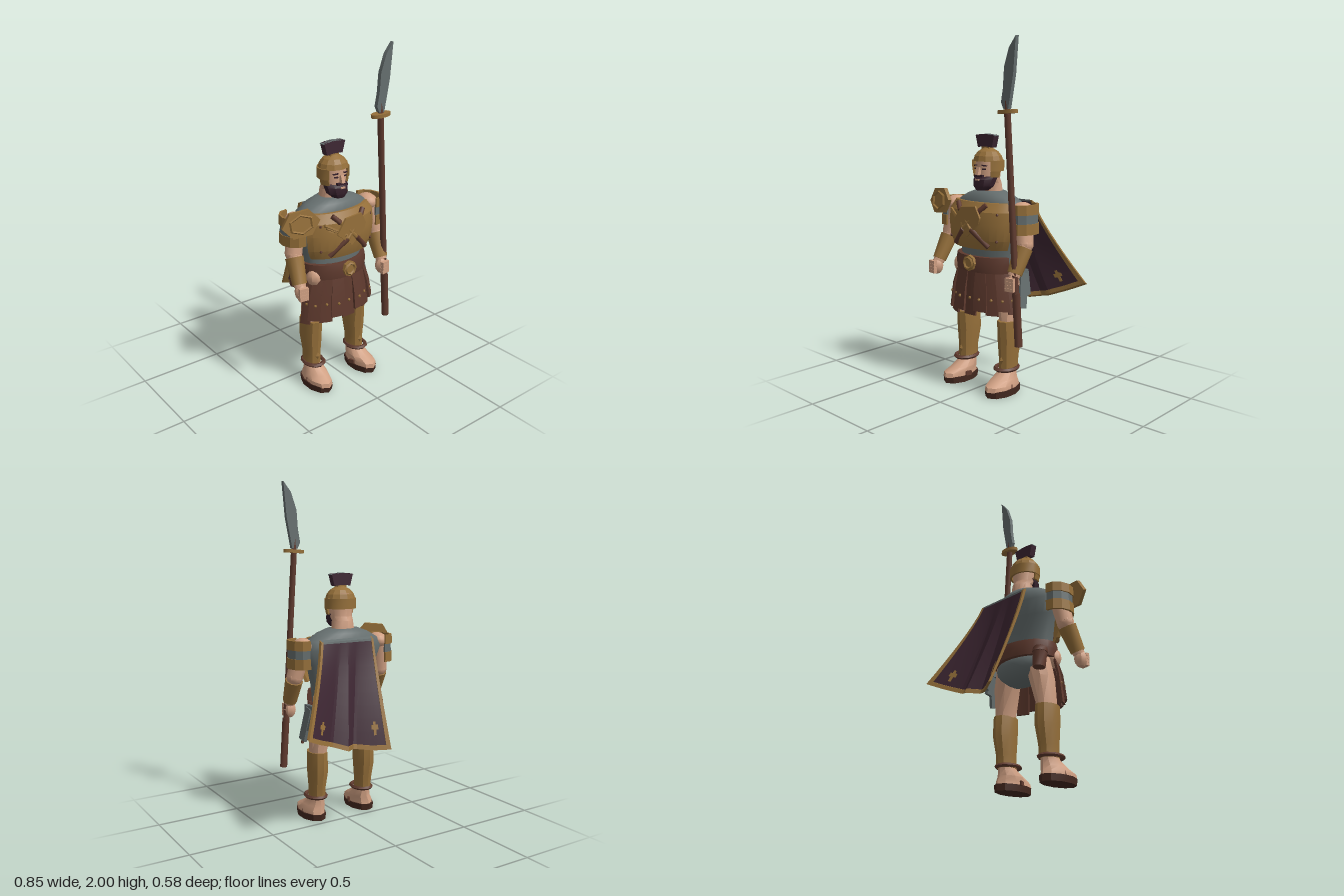
import * as THREE from 'three';
import { toCreasedNormals } from 'three/addons/utils/BufferGeometryUtils.js';

const mat = (name, color) => Object.assign(new THREE.MeshStandardMaterial({ color }), { name });
const gold = mat('gold', 0x96703a), brown = mat('brown leather', 0x5f3a2e), skin = mat('skin', 0xcf9f82),
  steel = mat('steel grey', 0x656e6e), purple = mat('dark purple', 0x3e2733), beardDark = mat('beard', 0x35202b),
  sole = mat('dark sole', 0x43281f);
const CX = -0.015; // body axis
const lerp = THREE.MathUtils.lerp, V = (p) => new THREE.Vector3(...p);

export function createModel() {
  const root = new THREE.Group();
  root.name = 'soldier';

  const add = (name, geo, m, crease = 0.6) => {
    const mesh = new THREE.Mesh(toCreasedNormals(geo, crease), m);
    mesh.name = name;
    root.add(mesh);
    return mesh;
  };
  const remap = (geo, fn) => {
    const p = geo.attributes.position;
    for (let i = 0; i < p.count; i++) p.setXYZ(i, ...fn(p.getX(i), p.getY(i), p.getZ(i)));
    return geo;
  };
  // Solid through elliptical rings [y, cx, cz, rx, rz], bottom to top
  const loft = (name, m, rings, n = 10, crease = 0.6) => {
    const k = rings.length - 1;
    return add(name, remap(new THREE.CylinderGeometry(1, 1, 1, n, k), (x, y, z) => {
      const [ry, cx, cz, rx, rz] = rings[Math.round((y + 0.5) * k)];
      return [cx + x * rx, ry, cz + z * rz];
    }), m, crease);
  };
  // Curved plate around a vertical axis; rows are [y, rx, rz], angle 0 faces front
  const wrap = (name, m, cx, cz, a0, a1, rows, thick = 0.015, segs = 8, crease = 0.4) => {
    const k = rows.length - 1;
    return add(name, remap(new THREE.BoxGeometry(1, 1, 1, segs, k, 1), (x, y, z) => {
      const [ry, rx, rz] = rows[Math.round((y + 0.5) * k)], a = lerp(a0, a1, x + 0.5);
      return [cx + Math.sin(a) * (rx + z * thick), ry, cz + Math.cos(a) * (rz + z * thick)];
    }), m, crease);
  };
  // Tapered rod from a to b
  const rod = (name, m, a, b, ra, rb = ra, n = 8) => {
    const d = V(b).sub(V(a)), mesh = add(name, new THREE.CylinderGeometry(rb, ra, d.length(), n), m, 0.8);
    mesh.position.copy(V(a)).addScaledVector(d, 0.5);
    mesh.quaternion.setFromUnitVectors(new THREE.Vector3(0, 1, 0), d.normalize());
    return mesh;
  };
  const box = (name, m, size, pos, rot = [0, 0, 0]) => {
    const mesh = add(name, new THREE.BoxGeometry(...size), m);
    mesh.position.set(...pos);
    mesh.rotation.set(...rot);
    return mesh;
  };
  const ball = (name, m, pos, scale, w = 10, h = 7) => {
    const mesh = add(name, remap(new THREE.SphereGeometry(1, w, h), (x, y, z) => [x * scale[0], y * scale[1], z * scale[2]]), m);
    mesh.position.set(...pos);
    return mesh;
  };
  const plate = (name, m, pts, depth, z) => {
    const s = new THREE.Shape(pts.map((p) => new THREE.Vector2(...p)));
    const mesh = add(name, new THREE.ExtrudeGeometry(s, { depth, bevelEnabled: false }), m);
    mesh.position.z = z;
    return mesh;
  };

  // Tunic and pelvis
  loft('tunic', steel, [[0.72, CX, 0.09, 0.19, 0.1], [0.82, CX, 0.09, 0.2, 0.105], [0.95, CX, 0.08, 0.235, 0.105],
    [1.04, CX, 0.075, 0.27, 0.115], [1.09, CX, 0.075, 0.24, 0.112], [1.13, CX, 0.075, 0.17, 0.095], [1.155, CX, 0.075, 0.1, 0.07]], 24, 1);
  ball('pelvis', steel, [CX, 0.67, 0.07], [0.185, 0.105, 0.11], 18, 12);
  ball('hipSkin', skin, [0.125, 0.745, 0.055], [0.068, 0.055, 0.06]);
  ball('hipSkin', skin, [-0.185, 0.71, 0.14], [0.05, 0.06, 0.05]);

  // Belt, open over the left hip
  wrap('belt', brown, CX, 0.09, -4.3, 1.25, [[0.7, 0.2, 0.14], [0.75, 0.205, 0.145], [0.79, 0.2, 0.135]], 0.025, 22);
  const buckle = add('buckle', new THREE.CylinderGeometry(0.046, 0.046, 0.02, 8), gold);
  buckle.position.set(CX, 0.752, 0.248);
  buckle.rotation.x = Math.PI / 2;
  const buckleRim = add('buckleRim', new THREE.TorusGeometry(0.032, 0.008, 4, 8), gold);
  buckleRim.position.set(CX, 0.752, 0.258);

  // Leather strip skirt
  for (let i = -4; i <= 4; i++) {
    const a = i * 0.31, low = 0.45 + 0.025 * (Math.abs(i) % 2) + 0.006 * i;
    const out = i % 2 ? 0.012 : 0;
    wrap('skirtStrip', brown, CX, 0.09, a - 0.17, a + 0.17, [[low, 0.255 + out, 0.155 + out], [0.6, 0.232 + out, 0.145 + out], [0.72, 0.2, 0.135]], 0.014, 2);
    ball('skirtStud', gold, [CX + Math.sin(a) * (0.242 + out), 0.55, 0.09 + Math.cos(a) * (0.158 + out)], [0.009, 0.009, 0.009], 6, 4);
  }

  // Breastplate with studs
  wrap('breastplate', gold, CX, 0.11, -1.2, 1.2, [[0.835, 0.215, 0.12], [0.89, 0.24, 0.14], [0.98, 0.25, 0.147], [1.05, 0.245, 0.135], [1.1, 0.21, 0.1]], 0.02, 12, 0.3);
  for (const s of [-1, 1]) for (const y of [0.89, 1.04])
    ball('breastplateStud', brown, [CX + s * 0.18, y, 0.11 + (y < 1 ? 0.105 : 0.1)], [0.009, 0.009, 0.009], 6, 4);
  // Crossed handles with a fan-shaped plate
  for (const s of [-1, 1]) {
    rod('crossedHandle', brown, [CX + s * 0.11, 1.09, 0.225], [CX + s * 0.07, 1.05, 0.25], 0.015);
    rod('crossedHandle', gold, [CX + s * 0.07, 1.05, 0.25], [CX - s * 0.03, 0.95, 0.268], 0.012);
    rod('crossedHandle', brown, [CX - s * 0.03, 0.95, 0.265], [CX - s * 0.13, 0.855, 0.225], 0.016);
  }
  plate('fanPlate', gold, [[-0.015, 0.905], [0.075, 0.985], [0.085, 1.02], [0.05, 1.085], [-0.06, 1.075], [-0.12, 0.99]], 0.012, 0.258);
  for (let i = 0; i < 4; i++)
    rod('sheafRod', gold, [-0.18 + i * 0.012, 1.05 - i * 0.018, 0.23], [-0.05, 0.975 - i * 0.008, 0.268], 0.009, 0.007, 5);

  // Legs, greaves and sandals
  for (const s of [-1, 1]) {
    const x = CX + s * 0.165;
    loft('thigh', skin, [[0.36, x, 0.09, 0.05, 0.06], [0.44, x - s * 0.005, 0.09, 0.055, 0.065], [0.58, x - s * 0.025, 0.08, 0.074, 0.075], [0.72, x - s * 0.06, 0.075, 0.08, 0.078]]);
    loft('greave', gold, [[0.13, x, 0.1, 0.05, 0.062], [0.2, x, 0.098, 0.05, 0.064], [0.31, x, 0.09, 0.062, 0.078], [0.42, x, 0.095, 0.057, 0.08]]);
    ball('greaveStud', gold, [x, 0.19, 0.162], [0.016, 0.024, 0.01], 4, 2);
    const strap = add('ankleStrap', new THREE.TorusGeometry(0.058, 0.012, 5, 12), brown);
    strap.position.set(x, 0.14, 0.115);
    strap.rotation.x = Math.PI / 2;
    strap.scale.y = 1.25;
    const toe = x + s * 0.008;
    loft('foot', skin, [[0.035, toe, 0.162, 0.067, 0.126], [0.06, toe, 0.162, 0.066, 0.12], [0.085, x, 0.14, 0.06, 0.092], [0.12, x, 0.11, 0.047, 0.06], [0.15, x, 0.1, 0.044, 0.052]]);
    loft('sandalSole', sole, [[0, toe, 0.157, 0.072, 0.124], [0.038, toe, 0.157, 0.074, 0.128]]);
    wrap('sandalStrap', brown, x, 0.14, -1.5, 1.5, [[0.035, 0.068, 0.06], [0.06, 0.067, 0.058]], 0.012, 6);
  }

  // Arms with banded sleeves and bracers
  const arms = [
    { s: 1, shoulder: [0.245, 1.06, 0.09], elbow: [0.285, 0.88, 0.115], wrist: [0.278, 0.71, 0.198], hand: [0.275, 0.672, 0.2], cx: 0.252 },
    { s: -1, shoulder: [-0.28, 1.06, 0.09], elbow: [-0.312, 0.88, 0.115], wrist: [-0.33, 0.71, 0.2], hand: [-0.332, 0.685, 0.21], cx: -0.285 },
  ];
  for (const { s, shoulder, elbow, wrist, hand, cx } of arms) {
    ball('shoulder', skin, shoulder, [0.06, 0.05, 0.07]);
    rod('upperArm', skin, shoulder, elbow, 0.058, 0.05, 10);
    ball('elbow', skin, elbow, [0.05, 0.05, 0.05]);
    rod('forearm', skin, elbow, wrist, 0.047, 0.034, 10);
    const at = (t) => V(elbow).lerp(V(wrist), t).toArray();
    rod('bracer', gold, at(0.12), at(0.92), 0.053, 0.042, 10);
    [[1.1, 1.045, gold, 0.006], [1.045, 0.995, steel, 0], [0.995, 0.935, gold, 0.006]].forEach(([top, low, m, o]) => {
      const a = s > 0 ? [-0.15, 3.25] : [-3.25, 0.15];
      wrap('sleeveBand', m, cx, 0.09, ...a, [[low, 0.072 + o, 0.083 + o], [top, 0.07 + o, 0.083 + o]], 0.014, 6, 0.3);
    });
    ball('hand', skin, hand, [0.038, 0.052, 0.036], 8, 6);
    for (let i = 0; i < 4; i++)
      box('finger', skin, [0.055, 0.018, 0.022], [hand[0] + s * 0.004, hand[1] - 0.032 + i * 0.019, hand[2] + 0.03], [0, s * 0.15, 0]);
  }

  // Hexagonal shoulder guard on the right
  const guard = new THREE.Group();
  guard.name = 'shoulderGuard';
  const hex = add('guardPlate', new THREE.CylinderGeometry(0.1, 0.1, 0.022, 6), gold);
  hex.rotation.set(Math.PI / 2, Math.PI / 6, 0);
  const hexRim = add('guardRim', new THREE.TorusGeometry(0.062, 0.008, 4, 6), gold);
  hexRim.position.z = 0.014;
  hexRim.rotation.z = Math.PI / 6;
  guard.add(hex, hexRim);
  guard.position.set(-0.315, 1.08, 0.19);
  guard.rotation.set(-0.1, -0.25, 0.08);
  guard.scale.set(1.13, 0.84, 1);
  root.add(guard);

  // Head, face and beard
  loft('head', skin, [[1.12, CX, 0.065, 0.075, 0.06], [1.2, CX, 0.07, 0.064, 0.06], [1.225, CX, 0.095, 0.07, 0.072], [1.29, CX, 0.093, 0.078, 0.076], [1.36, CX, 0.09, 0.07, 0.07]], 12);
  loft('beard', beardDark, [[1.16, CX, 0.14, 0.036, 0.036], [1.185, CX, 0.13, 0.066, 0.056], [1.222, CX, 0.12, 0.075, 0.063], [1.24, CX, 0.105, 0.076, 0.06]]);
  box('moustache', beardDark, [0.06, 0.014, 0.02], [CX, 1.243, 0.167]);
  box('lips', skin, [0.03, 0.009, 0.008], [CX, 1.222, 0.183]);
  box('nose', skin, [0.022, 0.045, 0.03], [CX, 1.268, 0.17], [-0.3, 0, 0]);
  for (const s of [-1, 1]) {
    box('eye', beardDark, [0.024, 0.008, 0.008], [CX + s * 0.032, 1.283, 0.16], [0, s * 0.35, 0]);
    box('brow', beardDark, [0.032, 0.007, 0.009], [CX + s * 0.034, 1.302, 0.16], [0, s * 0.35, -s * 0.1]);
  }

  // Helmet with open face
  loft('helmetDome', gold, [[1.325, CX, 0.093, 0.093, 0.083], [1.355, CX, 0.093, 0.083, 0.075], [1.38, CX, 0.093, 0.062, 0.056], [1.4, CX, 0.093, 0.025, 0.025]], 12, 0.3);
  wrap('helmetNeckGuard', gold, CX, 0.093, 0.85, Math.PI * 2 - 0.85, [[1.27, 0.091, 0.08], [1.33, 0.091, 0.081]], 0.012, 14);
  for (const s of [-1, 1])
    wrap('cheekGuard', gold, CX, 0.093, s * 1.25 - 0.35, s * 1.25 + 0.35, [[1.235, 0.08, 0.075], [1.28, 0.089, 0.08]], 0.012, 4);
  box('crestHolder', gold, [0.06, 0.07, 0.036], [CX - 0.003, 1.39, 0.095]);
  for (let i = 0; i < 10; i++) { // fanned crest tufts with pale tips
    const t = i - 4.5, a = -t * 0.058, x0 = CX - 0.005 + t * 0.0095, x1 = CX - 0.005 + t * 0.0158;
    box('crestTuft', purple, [0.0145, 0.07, 0.04], [(x0 + x1) / 2, 1.443 - Math.abs(t) * 0.001, 0.096], [0, 0, a]);
    box('crestTip', steel, [0.0125, 0.003, 0.036], [x1, 1.478 - Math.abs(t) * 0.0018, 0.096], [0, 0, a]);
  }

  // Cape: slanting folded cloth with gold border
  const hem = [[-0.12, 0.485, -0.28], [-0.03, 0.48, -0.225], [0.065, 0.49, -0.165], [0.135, 0.5, -0.225], [0.215, 0.525, -0.17], [0.32, 0.565, -0.225], [0.42, 0.61, -0.275]];
  const capeAt = (u, v) => {
    const f = Math.min(u, 0.9999) * 6, i = Math.floor(f), h = hem[i].map((c, k) => lerp(c, hem[i + 1][k], f - i));
    const top = [lerp(-0.152, 0.205, u), 1.1, -0.045];
    return [lerp(top[0], h[0], v ** 1.25), lerp(top[1], h[1], v), lerp(top[2], h[2], v ** 1.15)];
  };
  const cloth = (name, m, u0, u1, v0, v1, nu, nv, thick = 0.016) =>
    add(name, remap(new THREE.BoxGeometry(1, 1, 1, nu, nv, 1), (x, y, z) => {
      const [a, b, c] = capeAt(lerp(u0, u1, x + 0.5), lerp(v0, v1, 0.5 - y));
      return [a, b + z * thick * 0.5, c + z * thick];
    }), m, 0.2);
  cloth('cape', purple, 0.04, 0.96, 0.02, 0.96, 24, 8);
  cloth('capeTopEdge', steel, 0.02, 0.98, 0, 0.02, 24, 1, 0.02);
  cloth('capeSideTrim', gold, 0, 0.04, 0, 1, 1, 8, 0.022);
  cloth('capeSideTrim', gold, 0.96, 1, 0, 1, 1, 8, 0.022);
  cloth('capeHemTrim', gold, 0.03, 0.97, 0.96, 1, 24, 1, 0.022);
  for (const [u, v] of [[0.13, 0.8], [0.83, 0.84]]) { // worn gold patches
    cloth('capePatch', gold, u - 0.035, u + 0.035, v - 0.02, v + 0.02, 2, 1, 0.02);
    cloth('capePatch', gold, u - 0.012, u + 0.014, v - 0.05, v + 0.07, 2, 2, 0.02);
  }

  // Hip plates on the left, pouch at the right rear
  box('hipPlate', steel, [0.02, 0.2, 0.06], [0.235, 0.6, 0.075], [-0.2, 0, 0.12]);
  box('hipPlate', steel, [0.02, 0.15, 0.05], [0.222, 0.64, 0.035], [0.05, 0.2, 0.12]);
  box('hipPlate', steel, [0.02, 0.12, 0.045], [0.19, 0.64, -0.015], [0, 0.5, 0.1]);
  box('hipClasp', steel, [0.024, 0.035, 0.09], [0.215, 0.695, 0.06]);
  rod('pouch', brown, [-0.215, 0.61, -0.005], [-0.215, 0.7, 0.005], 0.036, 0.04);
  rod('pouchLid', brown, [-0.215, 0.7, 0.005], [-0.215, 0.73, 0.008], 0.045, 0.04);

  // Spear
  rod('spearShaft', brown, [0.318, 0.33, 0.203], [0.234, 1.6, 0.203], 0.018);
  rod('spearButt', brown, [0.32, 0.322, 0.203], [0.3, 0.62, 0.203], 0.022);
  rod('spearSocket', brown, [0.236, 1.59, 0.203], [0.23, 1.675, 0.203], 0.017, 0.012);
  const disc = add('spearGuard', new THREE.CylinderGeometry(0.066, 0.066, 0.02, 12), gold);
  disc.position.set(0.235, 1.605, 0.203);
  disc.scale.z = 0.55;
  disc.rotation.z = 0.06;
  plate('spearBlade', steel, [[0.215, 1.62], [0.25, 1.62], [0.262, 1.68], [0.285, 1.8], [0.303, 2], [0.255, 1.94], [0.22, 1.84], [0.212, 1.73], [0.198, 1.655]], 0.024, 0.191);
  return root;
}
